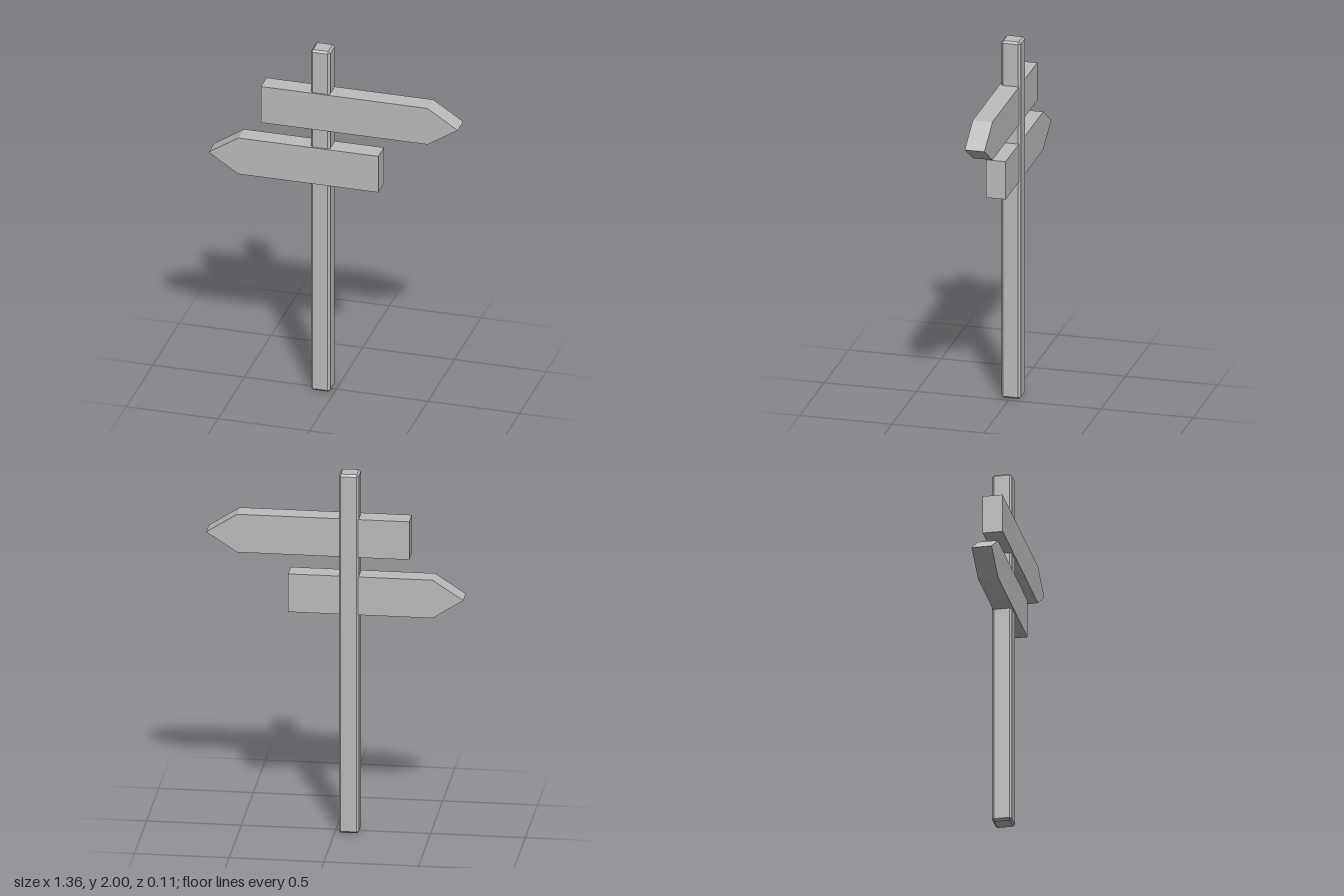
import * as THREE from 'three';
import { ConvexGeometry } from 'three/addons/geometries/ConvexGeometry.js';

const grey = new THREE.MeshStandardMaterial({ color: 0xbcbcbc });
grey.name = 'grey';

// Box with every edge cut by a flat chamfer
function chamferedBox(w, h, d, c) {
  const points = [];
  for (const x of [-1, 1]) for (const y of [-1, 1]) for (const z of [-1, 1]) {
    for (const [i, j, k] of [[0, c, c], [c, 0, c], [c, c, 0]]) {
      points.push(new THREE.Vector3(x * (w / 2 - i), y * (h / 2 - j), z * (d / 2 - k)));
    }
  }
  return new ConvexGeometry(points);
}

// Arrow-shaped plank: square end at tail, slanting from shoulder to tip
function arrowBoard(name, tail, shoulder, tip, bottom, top) {
  const mid = (bottom + top) / 2;
  const shape = new THREE.Shape([
    new THREE.Vector2(tail, bottom),
    new THREE.Vector2(shoulder, bottom),
    new THREE.Vector2(tip, mid),
    new THREE.Vector2(shoulder, top),
    new THREE.Vector2(tail, top),
  ]);
  const geometry = new THREE.ExtrudeGeometry(shape, { depth: 0.107, bevelEnabled: false });
  geometry.translate(0, 0, -0.05);
  const board = new THREE.Mesh(geometry, grey);
  board.name = name;
  return board;
}

export function createModel() {
  const signpost = new THREE.Group();
  signpost.name = 'signpost';

  // Post, set slightly behind the boards' front faces
  const post = new THREE.Mesh(chamferedBox(0.105, 2, 0.105, 0.011), grey);
  post.name = 'post';
  post.position.set(-0.074, 1, -0.0045);
  signpost.add(post);

  // Boards pointing opposite ways
  signpost.add(arrowBoard('upperBoard', -0.394, 0.515, 0.679, 1.54, 1.752));
  signpost.add(arrowBoard('lowerBoard', 0.246, -0.517, -0.679, 1.22, 1.432));

  return signpost;
}
